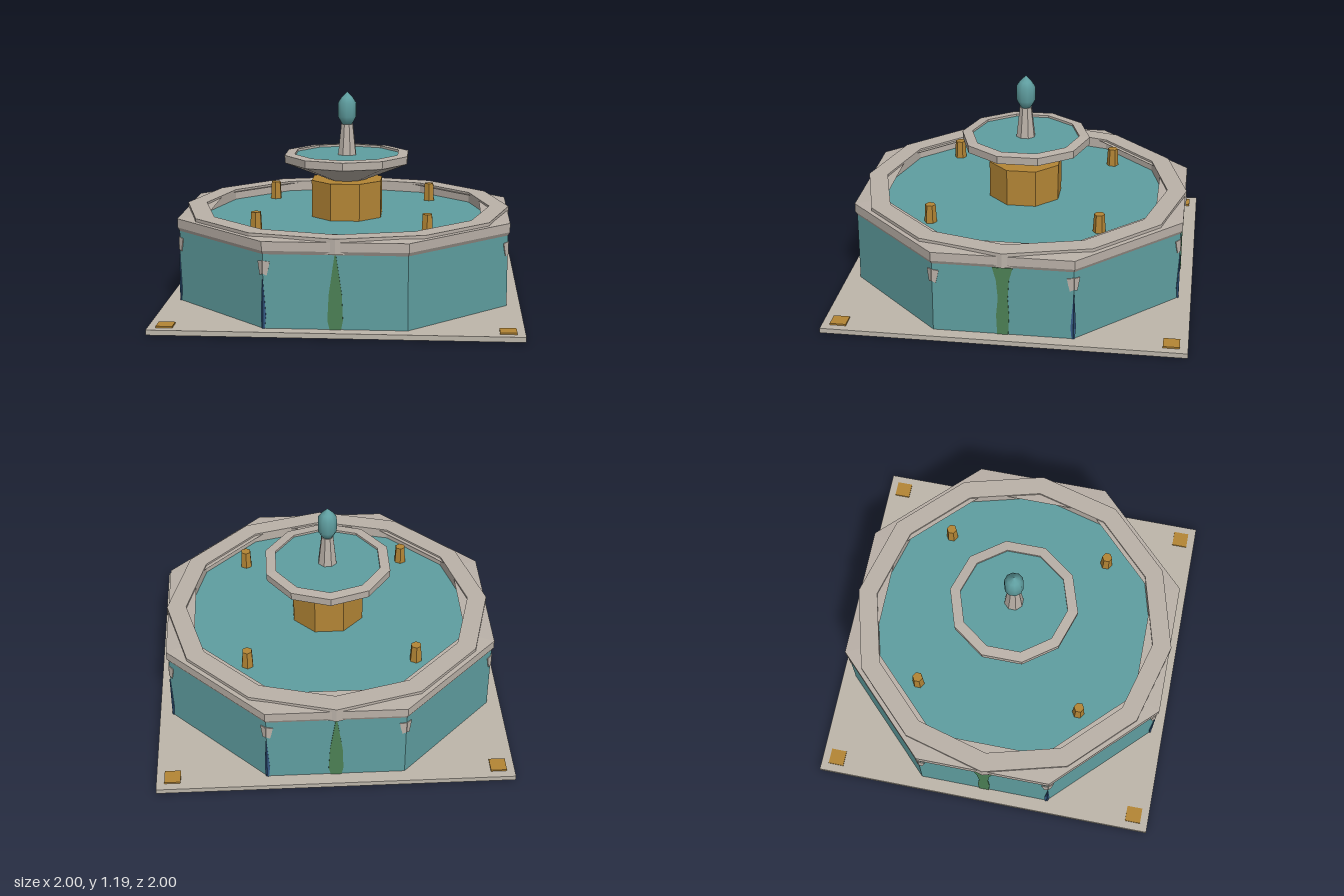
import * as THREE from 'three';

const mat = (name, color) => {
  const m = new THREE.MeshStandardMaterial({ color });
  m.name = name;
  return m;
};

export function createModel() {
  const root = new THREE.Group();
  const stone = mat('pale stone', 0xbab1a8);
  const paving = mat('paving stone', 0xbdb6aa);
  const teal = mat('teal', 0x5f9ea0);
  const gold = mat('gold', 0xb38535);
  const moss = mat('moss green', 0x4c8055);
  const navy = mat('navy', 0x355a85);

  const add = (name, geo, material, x = 0, y = 0, z = 0) => {
    const mesh = new THREE.Mesh(geo, material);
    mesh.name = name;
    mesh.position.set(x, y, z);
    root.add(mesh);
    return mesh;
  };
  const facet = (geo) => {
    const g = geo.index ? geo.toNonIndexed() : geo;
    g.computeVertexNormals();
    return g;
  };
  // Faceted solid of revolution; profile runs [radius, y] upward on the outside
  const turned = (profile, sides, spin = 0) =>
    facet(new THREE.LatheGeometry(profile.map(([r, y]) => new THREE.Vector2(r, y)), sides).rotateY(spin));
  const ring = (ri, ro, y0, y1, sides, spin = 0) =>
    turned([[ri, y0], [ro, y0], [ro, y1], [ri, y1], [ri, y0]], sides, spin);
  const polygon = (pts) => new THREE.Shape(pts.map(([x, y]) => new THREE.Vector2(x, y)));

  // Square base with gold corner tiles
  add('basePlate', new THREE.BoxGeometry(2, 0.028, 2), paving, 0, 0.018, 0);
  for (const x of [-0.91, 0.91]) for (const z of [-0.91, 0.91])
    add('cornerTile', new THREE.BoxGeometry(0.09, 0.01, 0.09), gold, x, 0.036, z);

  // Octagonal basin
  const turn = Math.PI / 8;
  add('basinWall', turned([[0, 0.002], [1, 0.002], [1, 0.44]], 8, turn), teal);
  add('basinRimSlab', turned([[0.84, 0.435], [1.0, 0.435], [1.012, 0.455], [1.012, 0.505], [0.84, 0.515]], 8, turn), stone);
  add('basinRimRing', ring(0.83, 0.942, 0.44, 0.525, 12), stone);
  add('basinWater', new THREE.CircleGeometry(0.86, 12).rotateX(-Math.PI / 2), teal, 0, 0.465, 0);

  // Navy underside, notched on the four diagonal sides
  const star = [];
  for (let i = 0; i < 8; i++) {
    const a = (i + 0.5) * Math.PI / 4;
    star.push([Math.cos(a) * 0.985, Math.sin(a) * 0.985]);
    if (i % 2 === 0) {
      const b = (i + 1) * Math.PI / 4;
      if ((i + 1) % 2) star.push([Math.cos(b) * 0.79, Math.sin(b) * 0.79]);
    }
  }
  // Diagonal notches lie between corners at 22.5 and 67.5 degrees of each quadrant
  add('underside', new THREE.ShapeGeometry(polygon(star)).rotateX(Math.PI / 2), navy, 0, 0, 0);

  // Thin plates fixed to a basin wall; side 0 faces +z, counting toward +x
  const wallPlate = (name, pts, side, material, depth = 0.006) => {
    const geo = new THREE.ExtrudeGeometry(polygon(pts), { depth, bevelEnabled: false });
    geo.translate(0, 0, Math.cos(turn) - 0.001).rotateY(side * Math.PI / 4);
    add(name, geo, material);
  };
  const leaf = [[-0.03, 0.03], [0.03, 0.03], [0.04, 0.08], [0.035, 0.22], [0.004, 0.435], [-0.004, 0.435], [-0.035, 0.22], [-0.042, 0.08]];
  const streak = [[-0.03, 0.03], [0.03, 0.03], [0.035, 0.15], [0.028, 0.25], [0.035, 0.36], [0.055, 0.435], [-0.055, 0.435], [-0.035, 0.36], [-0.025, 0.25], [-0.035, 0.15]];
  for (const side of [0, 4]) wallPlate('mossStreak', leaf, side, moss);
  for (const side of [2, 6]) wallPlate('mossStreak', streak, side, moss);

  // Stone chips and navy stains wrap around the wall corners
  const wrapCorner = (name, pts, corner, material) => {
    wallPlate(name, pts, corner, material);
    wallPlate(name, pts.map(([u, y]) => [-u, y]).reverse(), corner + 1, material);
  };
  const chip = [[0.383, 0.33], [0.383, 0.4], [0.345, 0.395], [0.352, 0.36], [0.362, 0.32]];
  const stain = [[0.383, 0.03], [0.383, 0.3], [0.375, 0.2], [0.368, 0.1], [0.375, 0.03]];
  for (let c = 1; c < 8; c++) wrapCorner('cornerChip', chip, c, stone);
  for (const c of [2, 3, 6, 7]) wrapCorner('cornerStain', stain, c, navy);

  // Small gold spouts standing in the water
  for (const x of [-0.475, 0.475]) for (const z of [-0.475, 0.475])
    add('spout', facet(new THREE.CylinderGeometry(0.03, 0.036, 0.11, 6)), gold, x, 0.515, z);

  // Pedestal and upper bowl
  add('pedestal', facet(new THREE.CylinderGeometry(0.217, 0.217, 0.22, 8).rotateY(turn)), gold, 0, 0.57, 0);
  add('upperBowl', turned([[0, 0.675], [0.1, 0.675], [0.37, 0.785], [0.372, 0.83], [0.312, 0.835], [0.312, 0.8]], 10), stone);
  add('upperWater', new THREE.CircleGeometry(0.32, 10).rotateX(-Math.PI / 2).rotateY(Math.PI / 10), teal, 0, 0.822, 0);

  // Stem and water drop
  add('stem', facet(new THREE.CylinderGeometry(0.036, 0.056, 0.18, 8).rotateY(turn)), stone, 0, 0.91, 0);
  const drop = [[0, 0.99], [0.03, 1.0], [0.055, 1.045], [0.055, 1.125], [0.035, 1.155], [0, 1.19]];
  add('waterDrop', new THREE.LatheGeometry(drop.map(([r, y]) => new THREE.Vector2(r, y)), 10), teal);

  return root;
}
